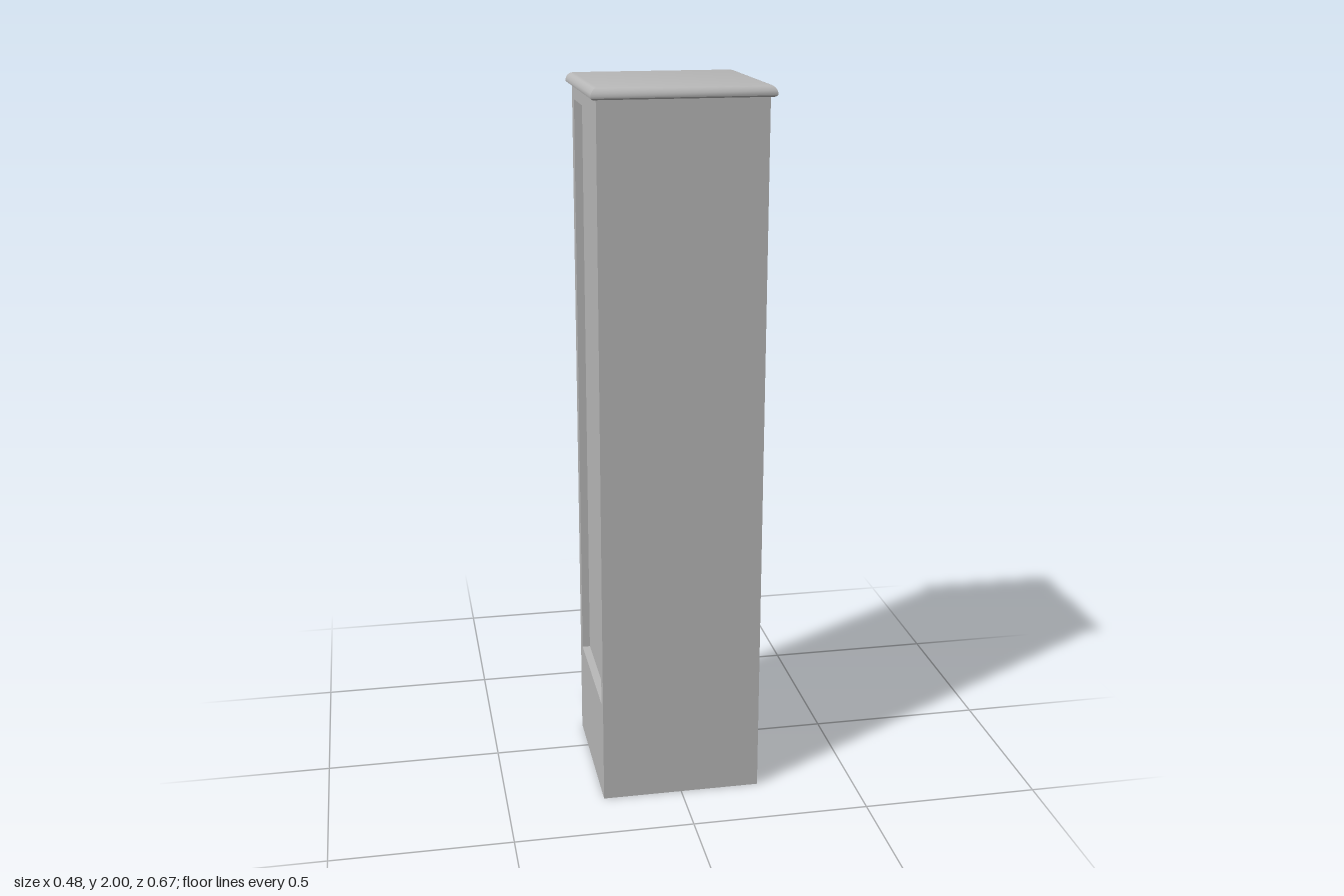
import * as THREE from 'three';
import { toCreasedNormals } from 'three/addons/utils/BufferGeometryUtils.js';

const grey = new THREE.MeshStandardMaterial({ color: 0xb8b8b8 });
grey.name = 'paintedGrey';

// Box given by its minimum and maximum on each axis
function board(name, [x0, x1], [y0, y1], [z0, z1]) {
  const mesh = new THREE.Mesh(new THREE.BoxGeometry(x1 - x0, y1 - y0, z1 - z0), grey);
  mesh.position.set((x0 + x1) / 2, (y0 + y1) / 2, (z0 + z1) / 2);
  mesh.name = name;
  return mesh;
}

function rectangle(path, x0, x1, y0, y1) {
  return path.moveTo(x0, y0).lineTo(x1, y0).lineTo(x1, y1).lineTo(x0, y1).closePath();
}

// Rectangular slab whose edge follows a moulded profile of [inset, y]
function mouldedSlab(halfX, z0, z1, profile) {
  const positions = [];
  const index = [];
  for (const [inset, y] of profile) {
    const x = halfX - inset, a = z0 + inset, b = z1 - inset;
    positions.push(-x, y, b, x, y, b, x, y, a, -x, y, a);
  }
  for (let r = 0; r < profile.length - 1; r++) {
    for (let i = 0; i < 4; i++) {
      const a = r * 4 + i, b = r * 4 + (i + 1) % 4;
      index.push(a, b, b + 4, a, b + 4, a + 4);
    }
  }
  const t = (profile.length - 1) * 4;
  index.push(t, t + 1, t + 2, t, t + 2, t + 3, 0, 2, 1, 0, 3, 2);
  const geometry = new THREE.BufferGeometry();
  geometry.setAttribute('position', new THREE.Float32BufferAttribute(positions, 3));
  geometry.setIndex(index);
  return toCreasedNormals(geometry, 0.7);
}

export function createModel() {
  const model = new THREE.Group();
  model.name = 'tallCabinet';

  const W = 0.225, inner = 0.198, H = 1.97;
  const back = -0.13, front = 0.32, frontInner = 0.29;
  const span = [-inner, inner];
  const depth = [back, frontInner];

  // Carcass boards
  model.add(board('frontPanel', [-W, W], [0, H], [frontInner, front]));
  model.add(board('topBoard', span, [1.93, H], depth));
  model.add(board('compartmentFloor', span, [0.235, 0.285], depth));
  model.add(board('baseBoard', span, [0, 0.015], depth));
  model.add(board('shelf', span, [1.555, 1.577], [back + 0.02, frontInner]));

  // Side walls: a frame around a recessed panel
  const frameDepth = 0.022;
  const outline = rectangle(new THREE.Shape(), back, frontInner, 0, H);
  outline.holes.push(rectangle(new THREE.Path(), -0.092, 0.2899, 0.285, 1.93));
  const frameGeometry = new THREE.ExtrudeGeometry(outline, { depth: frameDepth, bevelEnabled: false });
  frameGeometry.rotateY(-Math.PI / 2);
  for (const side of [1, -1]) {
    const name = side > 0 ? 'left' : 'right';
    const frame = new THREE.Mesh(frameGeometry, grey);
    frame.position.x = side > 0 ? W : -W + frameDepth;
    frame.name = name + 'SideFrame';
    const xs = [side * inner, side * (W - frameDepth)].sort((a, b) => a - b);
    model.add(frame, board(name + 'SidePanel', xs, [0, H], depth));
  }

  // Cornice with a rounded edge
  const cornice = new THREE.Mesh(mouldedSlab(0.241, -0.145, 0.335, [
    [0.007, H], [0.001, 1.974], [0, 1.979], [0.002, 1.986], [0.006, 1.993], [0.012, 1.998], [0.02, 2],
  ]), grey);
  cornice.name = 'cornice';
  model.add(cornice);

  // Open drawer, pulled out at the back
  const drawer = new THREE.Group();
  drawer.name = 'drawer';
  const dx = 0.197, wall = 0.017, z0 = -0.335, z1 = 0.07, ys = [0.02, 0.225];
  drawer.add(board('drawerFace', [-dx, dx], ys, [z0, z0 + wall]));
  drawer.add(board('drawerEnd', [-dx, dx], ys, [z1 - wall, z1]));
  drawer.add(board('drawerLeftWall', [dx - wall, dx], ys, [z0 + wall, z1 - wall]));
  drawer.add(board('drawerRightWall', [-dx, -dx + wall], ys, [z0 + wall, z1 - wall]));
  drawer.add(board('drawerBottom', [-dx + wall, dx - wall], [0.02, 0.037], [z0 + wall, z1 - wall]));
  model.add(drawer);

  return model;
}
